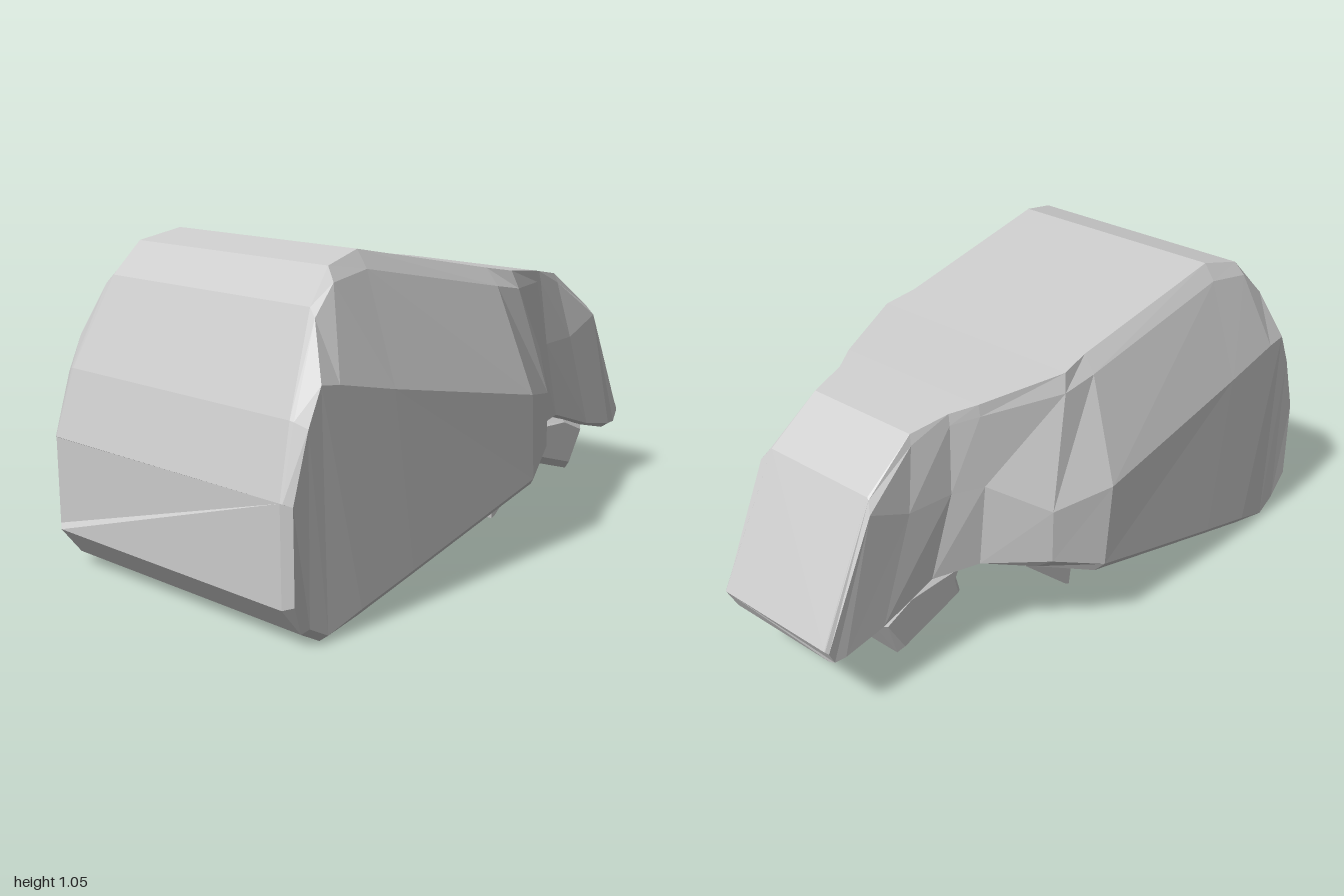
import * as THREE from 'three';

const material = () => new THREE.MeshStandardMaterial({ color: 0xcccccc, flatShading: true });

// Half-profile edge lines running from the rear to the snout, as [x, y, z].
const topEdge = [
  [-1, .43, .50], [-.94, .64, .48], [-.81, .92, .43], [-.72, 1.02, .41], [-.58, 1.05, .385], [.02, .93, .37],
  [.13, .91, .385], [.40, .87, .28], [.48, .855, .235], [.61, .83, .205], [.79, .70, .21], [1, .28, .225],
];
const sideUpper = [
  [-.98, .42, .53], [-.92, .62, .53], [-.87, .73, .53], [-.80, .72, .53], [-.58, .67, .53], [.06, .54, .53],
  [.25, .50, .45], [.40, .60, .305], [.50, .60, .26], [.66, .60, .245], [.81, .66, .24], [.99, .27, .235],
];
const sideLower = [
  [-.98, .14, .53], [-.92, .06, .525], [-.85, .02, .525], [-.72, .06, .53], [-.50, .115, .53], [.08, .26, .525],
  [.25, .32, .45], [.42, .33, .30], [.58, .33, .25], [.78, .26, .245], [.93, .23, .24], [.97, .23, .235],
];
const bottomEdge = [
  [-1, .13, .50], [-.93, .04, .50], [-.86, 0, .50], [-.72, .035, .51], [-.50, .09, .51], [.10, .235, .50],
  [.27, .29, .40], [.42, .31, .25], [.58, .32, .22], [.78, .25, .22], [.93, .21, .21], [.97, .22, .21],
];

// Narrow bevel just under the top edge.
function shoulder(i) {
  const t = topEdge[i], u = sideUpper[i];
  const bulge = Math.max(0, u[2] - t[2]) * 0.12;
  const p = t.map((v, k) => v + (u[k] - v) * 0.14);
  p[2] += bulge;
  return p;
}

function shellGeometry() {
  const rings = topEdge.map((t, i) => {
    const half = [t, shoulder(i), sideUpper[i], sideLower[i], bottomEdge[i]];
    return [...half, ...half.slice().reverse().map(([x, y, z]) => [x, y, -z])];
  });
  const n = rings[0].length;
  const index = [];
  for (let i = 0; i < rings.length - 1; i++) {
    for (let j = 0; j < n; j++) {
      const k = (j + 1) % n;
      const a = i * n + j, b = a + n, d = i * n + k, c = d + n;
      // mirrored diagonals keep both sides alike
      if (j < n / 2) index.push(a, d, c, a, c, b);
      else index.push(a, d, b, d, c, b);
    }
  }
  // rear and snout caps
  const last = (rings.length - 1) * n;
  for (let j = 1; j < n - 1; j++) {
    index.push(0, j + 1, j, last, last + j, last + j + 1);
  }
  const geometry = new THREE.BufferGeometry();
  geometry.setAttribute('position', new THREE.Float32BufferAttribute(rings.flat(2), 3));
  geometry.setIndex(index);
  const flat = geometry.toNonIndexed();
  flat.computeVertexNormals();
  return flat;
}

// Side outline extruded across z and centred on z = 0.
function slab(points, width, bevel = 0) {
  const shape = new THREE.Shape(points.map(([x, y]) => new THREE.Vector2(x, y)));
  const geometry = new THREE.ExtrudeGeometry(shape, {
    depth: width - 2 * bevel, bevelEnabled: bevel > 0, bevelThickness: bevel,
    bevelSize: bevel, bevelOffset: -bevel, bevelSegments: 1,
  });
  return geometry.translate(0, 0, bevel - width / 2);
}

export function createModel() {
  const model = new THREE.Group();
  model.name = 'model';
  const add = (name, geometry, z = 0) => {
    const mesh = new THREE.Mesh(geometry, material());
    mesh.name = name;
    mesh.position.z = z;
    model.add(mesh);
  };

  add('bodyAndHead', shellGeometry());

  // Lower jaw tucked under the snout
  add('lowerJaw', slab([[.42, .19], [.70, .10], [.79, .25], [.66, .31], [.42, .315], [.44, .26]], .47, .025));

  // Small wedge feet under the belly
  const foot = [[.04, .25], [.06, .10], [.08, .11], [.28, .28], [.2, .3]];
  add('leftFoot', slab(foot, .06), -.335);
  add('rightFoot', slab(foot, .06), .345);

  return model;
}
